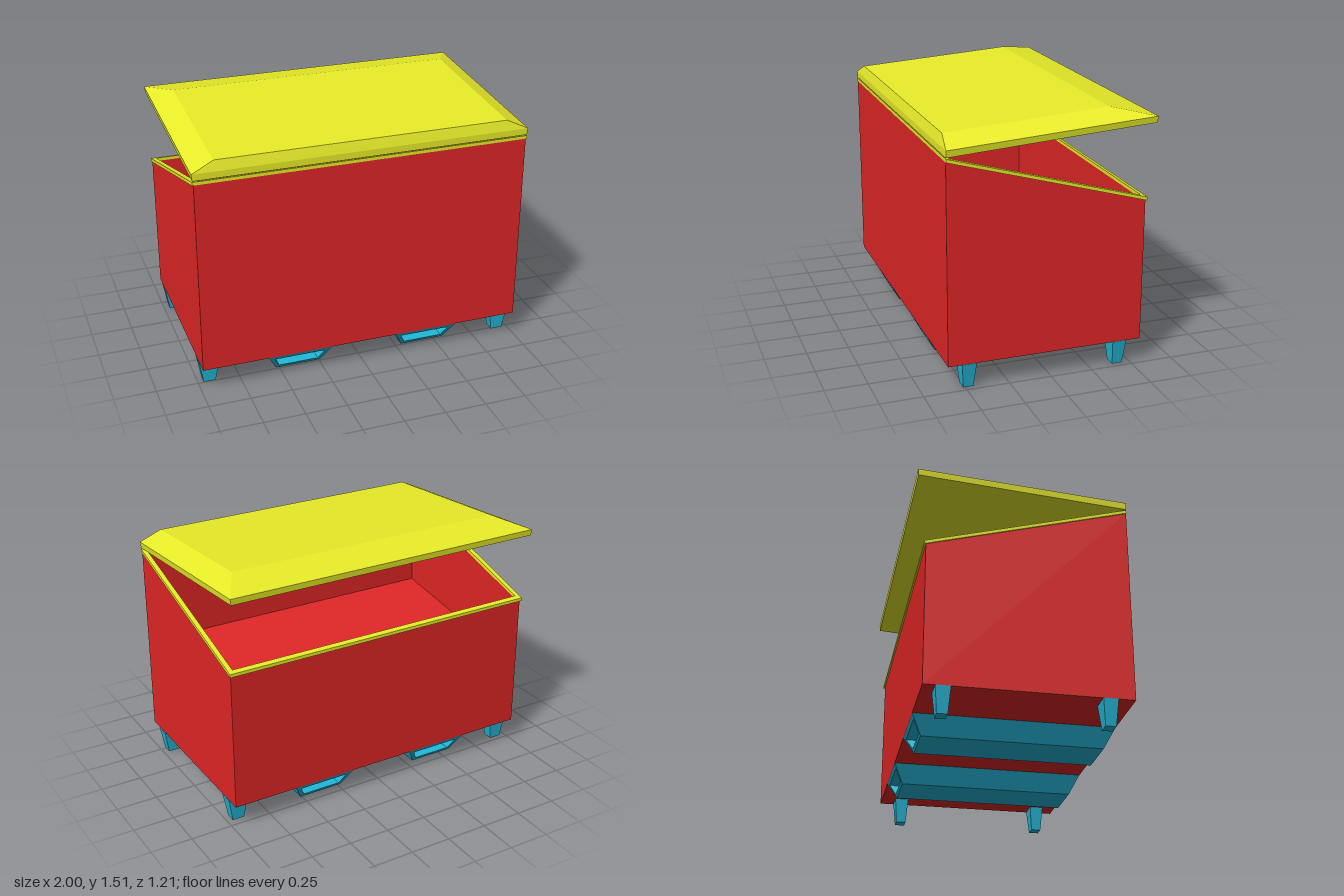
import * as THREE from 'three';

const red = new THREE.MeshStandardMaterial({ color: 0xe02626, flatShading: true });
const yellow = new THREE.MeshStandardMaterial({ color: 0xe8ec28, flatShading: true });
const teal = new THREE.MeshStandardMaterial({ color: 0x24b8d8, flatShading: true });

const FRONT = 0.605, BACK = -0.55;

// Four-cornered section, counter-clockwise from above, with its own front and back heights
function ring(x0, x1, zf, zb, yf, yb) {
  return [[x0, yf, zf], [x1, yf, zf], [x1, yb, zb], [x0, yb, zb]];
}

// Section lying in the sloping plane that has the given heights at FRONT and BACK
function slopedRing(x, zf, zb, yFront, yBack) {
  const y = z => yBack + (yFront - yBack) * (z - BACK) / (FRONT - BACK);
  return ring(-x, x, zf, zb, y(zf), y(zb));
}

// Flat-sided skin through successive sections
function loft(rings, capped = true) {
  const pos = [];
  const quad = (a, b, c, d) => pos.push(...a, ...b, ...c, ...a, ...c, ...d);
  for (let r = 0; r < rings.length - 1; r++) {
    const a = rings[r], b = rings[r + 1];
    for (let i = 0; i < 4; i++) {
      const j = (i + 1) % 4;
      quad(a[i], a[j], b[j], b[i]);
    }
  }
  if (capped) {
    quad(...[...rings[0]].reverse());
    quad(...rings[rings.length - 1]);
  }
  const g = new THREE.BufferGeometry();
  g.setAttribute('position', new THREE.Float32BufferAttribute(pos, 3));
  g.computeVertexNormals();
  return g;
}

// Trapezoid tube running front to back, with ends raked inward towards the bottom
function pocketGeometry() {
  const trapezoid = (Type, top, bottom, yTop, yBottom) => new Type([
    new THREE.Vector2(-bottom, yBottom), new THREE.Vector2(bottom, yBottom),
    new THREE.Vector2(top, yTop), new THREE.Vector2(-top, yTop),
  ]);
  const shape = trapezoid(THREE.Shape, 0.195, 0.137, 0.15, 0.04);
  shape.holes.push(trapezoid(THREE.Path, 0.155, 0.12, 0.127, 0.06));
  const g = new THREE.ExtrudeGeometry(shape, { depth: FRONT - BACK, bevelEnabled: false });
  g.translate(0, 0, BACK);
  const p = g.attributes.position;
  for (let i = 0; i < p.count; i++) {
    const z = p.getZ(i);
    p.setZ(i, z - Math.sign(z) * (0.15 - p.getY(i)) * 0.52);
  }
  g.computeVertexNormals();
  return g;
}

export function createModel() {
  const model = new THREE.Group();
  const add = (name, geometry, material) => {
    const mesh = new THREE.Mesh(geometry, material);
    mesh.name = name;
    model.add(mesh);
    return mesh;
  };

  // Open container with a sloping top and a raised, sloping inner floor
  add('container', loft([
    slopedRing(0.99, FRONT, BACK, 0.15, 0.15),
    slopedRing(0.99, FRONT, BACK, 1.32, 0.99),
    slopedRing(0.97, 0.585, -0.53, 1.32, 0.99),
    slopedRing(0.97, 0.585, -0.53, 0.73, 0.565),
  ]), red);

  // Rim frame around the opening
  const rimBottom = slopedRing(0.997, FRONT, -0.56, 1.32, 0.99);
  add('rim', loft([
    rimBottom,
    slopedRing(0.997, FRONT, -0.56, 1.34, 1.01),
    slopedRing(0.968, 0.58, -0.53, 1.34, 1.01),
    slopedRing(0.968, 0.58, -0.53, 1.32, 0.99),
    rimBottom,
  ], false), yellow);

  // Lid hinged at the front and lifted at the back
  add('lid', loft([
    ring(-0.995, 0.995, 0.605, -0.602, 1.345, 1.43),
    ring(-1, 1, 0.605, -0.605, 1.385, 1.467),
    ring(-0.87, 0.87, 0.587, -0.37, 1.445, 1.51),
  ]), yellow);

  // Lifting pockets under the floor
  const pocket = pocketGeometry();
  for (const x of [-0.4, 0.4]) add('liftingPocket', pocket, teal).position.x = x;

  // Tapered feet
  const foot = loft([
    ring(-0.036, 0.036, 0.03, -0.03, 0, 0),
    ring(-0.062, 0.062, 0.042, -0.042, 0.15, 0.15),
  ]);
  for (const [x, z] of [[0.93, 0.482], [0.93, -0.422], [-0.93, 0.466], [-0.93, -0.44]]) {
    add('foot', foot, teal).position.set(x, 0, z);
  }

  return model;
}
